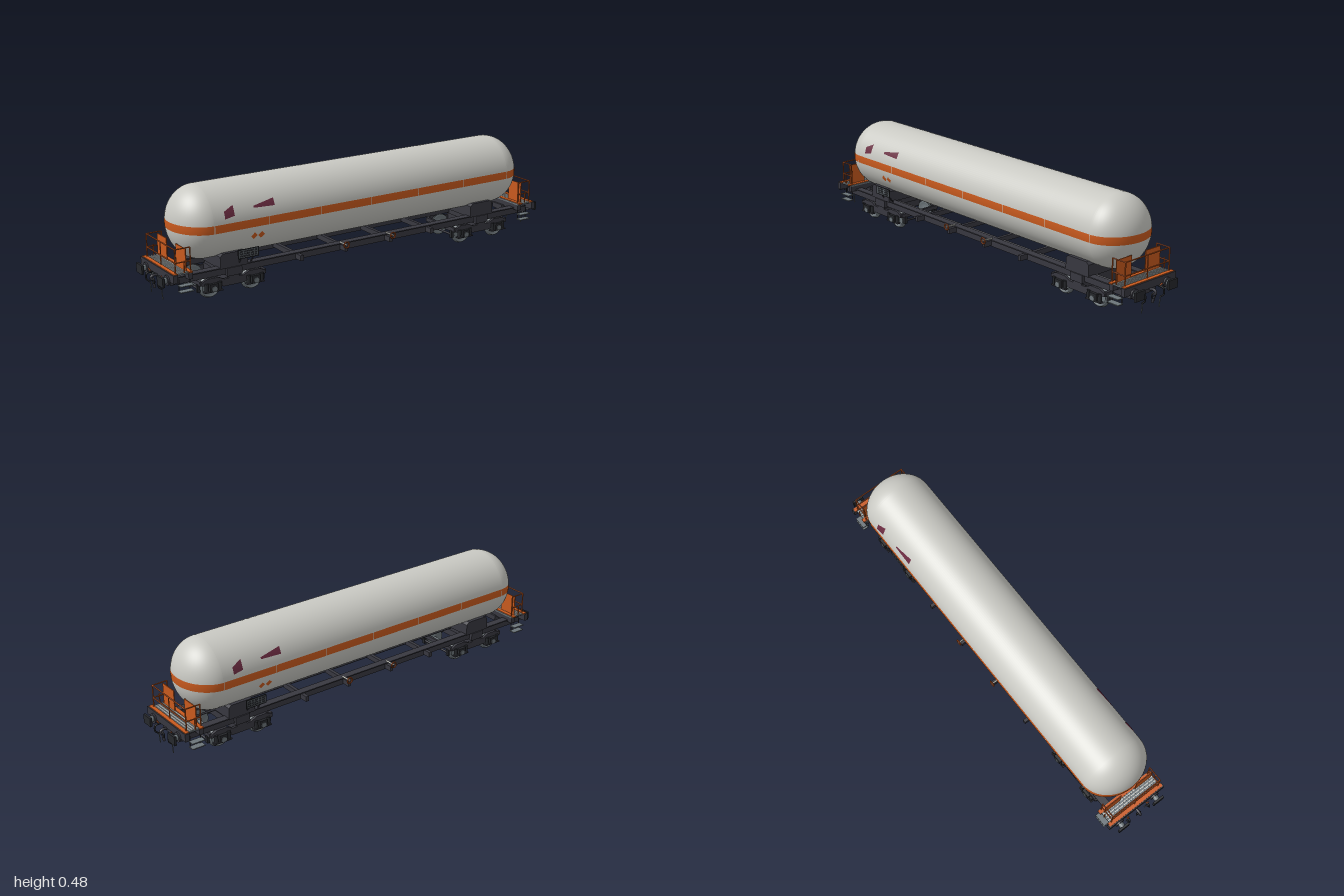
import * as THREE from 'three';

const mat = (name, color) => Object.assign(new THREE.MeshStandardMaterial({ color }), { name });
const R = 0.16, CY = 0.316, DOME = 0.135, STRAIGHT = 0.768;

export function createModel() {
  const shell = mat('tank grey', 0xc9c9c3), orange = mat('orange', 0xc95a1e);
  const dark = mat('charcoal', 0x383840), steel = mat('steel', 0x6c757a);
  const black = mat('black', 0x26282c), maroon = mat('maroon', 0x6a2b40);
  const model = new THREE.Group();
  model.name = 'tankWagon';

  const add = (parent, name, geo, m, x = 0, y = 0, z = 0) => {
    const mesh = new THREE.Mesh(geo, m);
    mesh.name = name;
    mesh.position.set(x, y, z);
    parent.add(mesh);
    return mesh;
  };
  // box given by its limits on each axis
  const box = (p, name, m, x0, x1, y0, y1, z0, z1) =>
    add(p, name, new THREE.BoxGeometry(x1 - x0, y1 - y0, z1 - z0), m, (x0 + x1) / 2, (y0 + y1) / 2, (z0 + z1) / 2);
  // round bar between two points
  const rod = (p, name, m, a, b, r, sides = 8) => {
    const A = new THREE.Vector3(...a), B = new THREE.Vector3(...b), d = B.clone().sub(A);
    const mesh = add(p, name, new THREE.CylinderGeometry(r, r, d.length(), sides), m);
    mesh.position.copy(A).add(B).multiplyScalar(0.5);
    mesh.quaternion.setFromUnitVectors(new THREE.Vector3(0, 1, 0), d.normalize());
    return mesh;
  };
  const tube = (p, name, m, pts, r) =>
    add(p, name, new THREE.TubeGeometry(new THREE.CatmullRomCurve3(pts.map(q => new THREE.Vector3(...q))), 16, r, 6), m);

  // domed tank surface between two polar angles, built from level cross-sections
  const tankBand = (name, m, t0, t1, rows) => {
    const pos = [], nor = [], idx = [], half = 24, cols = 2 * half + 3;
    for (let i = 0; i <= rows; i++) {
      const t = t0 + (t1 - t0) * i / rows, s = Math.sin(t), c = Math.cos(t);
      for (let j = 0; j < cols; j++) {
        const k = j % (2 * half + 2), side = k <= half ? 1 : -1;
        const f = -Math.PI / 2 + Math.PI * (side > 0 ? k : k - 1) / half;
        pos.push(side * STRAIGHT + DOME * s * Math.cos(f), CY + R * c, R * s * Math.sin(f));
        const n = new THREE.Vector3(s * Math.cos(f) / DOME, c / R, s * Math.sin(f) / R).normalize();
        nor.push(n.x, n.y, n.z);
        if (i < rows && j < cols - 1) {
          const a = i * cols + j, b = a + cols;
          idx.push(a, a + 1, b, a + 1, b + 1, b);
        }
      }
    }
    const g = new THREE.BufferGeometry();
    g.setAttribute('position', new THREE.Float32BufferAttribute(pos, 3));
    g.setAttribute('normal', new THREE.Float32BufferAttribute(nor, 3));
    g.setIndex(idx);
    add(model, name, g, m);
  };
  const tTop = Math.acos(0.016 / R), tLow = Math.acos(-0.019 / R);
  tankBand('tankUpper', shell, 0, tTop, 28);
  tankBand('tankStripe', orange, tTop, tLow, 4);
  tankBand('tankLower', shell, tLow, Math.PI, 28);
  for (let i = -3; i <= 3; i++) {
    const seam = new THREE.CylinderGeometry(R + 0.0006, R + 0.0006, 0.003, 96, 1, true).rotateZ(Math.PI / 2);
    add(model, 'weldSeam', seam, shell, i * 0.258, CY, 0);
  }

  // underframe: long sills, cross beams and handwheels
  for (const s of [-1, 1]) {
    box(model, 'sideSill', dark, -0.955, 0.955, 0.096, 0.128, s * 0.095 - 0.01, s * 0.095 + 0.01);
    box(model, 'sillFlange', dark, -0.955, 0.955, 0.125, 0.13, s * 0.095 - 0.018, s * 0.095 + 0.018);
    add(model, 'handwheel', new THREE.TorusGeometry(0.0135, 0.003, 8, 24), orange, s * 0.125, 0.132, 0.152);
    add(model, 'handwheel', new THREE.TorusGeometry(0.0135, 0.003, 8, 24), orange, s * 0.125, 0.132, -0.152);
    for (const z of [-1, 1]) {
      rod(model, 'handwheelShaft', shell, [s * 0.125, 0.132, z * 0.1], [s * 0.125, 0.132, z * 0.154], 0.004);
      rod(model, 'handwheelSpoke', orange, [s * 0.125 - 0.013, 0.132, z * 0.152], [s * 0.125 + 0.013, 0.132, z * 0.152], 0.0015);
    }
  }
  for (const x of [-0.35, -0.12, 0.12, 0.35])
    box(model, 'crossBeam', dark, x - 0.008, x + 0.008, 0.1, 0.124, -0.145, 0.145);
  rod(model, 'brakePipe', dark, [-0.93, 0.105, 0.03], [0.93, 0.105, 0.03], 0.005);

  // one half of the wagon, at the -x end
  const half = new THREE.Group();
  half.name = 'wagonHalf';

  // tank saddle
  const saddle = new THREE.Shape([[-0.065, 0.125], [0.065, 0.125], [0.065, 0.178], [0.052, 0.19], [-0.052, 0.19], [-0.065, 0.178]]
    .map(p => new THREE.Vector2(...p)));
  add(half, 'saddle', new THREE.ExtrudeGeometry(saddle, { depth: 0.23, bevelEnabled: false }), dark, -0.665, 0, -0.115);
  box(half, 'bolsterBeam', dark, -0.70, -0.63, 0.09, 0.126, -0.12, 0.12);

  // label board with a light grid
  box(half, 'labelBoard', black, -0.66, -0.56, 0.163, 0.203, 0.138, 0.142);
  for (let i = 0; i < 4; i++)
    box(half, 'boardLine', steel, -0.654, -0.566, 0.168 + i * 0.01, 0.1695 + i * 0.01, 0.142, 0.143);
  for (let i = 0; i < 6; i++)
    box(half, 'boardLine', steel, -0.654 + i * 0.0173, -0.6525 + i * 0.0173, 0.168, 0.199, 0.142, 0.143);
  for (const x of [-0.64, -0.58]) rod(half, 'boardPost', dark, [x, 0.11, 0.09], [x, 0.175, 0.138], 0.003);

  // painted plates following the tank side
  const plate = (name, m, place) => {
    const g = new THREE.PlaneGeometry(1, 1, 6, 6), p = g.attributes.position;
    for (let i = 0; i < p.count; i++) {
      const [x, y] = place(p.getX(i) + 0.5, p.getY(i) + 0.5);
      p.setXYZ(i, x, y, Math.sqrt((R + 0.0015) ** 2 - (y - CY) ** 2));
    }
    g.computeVertexNormals();
    add(half, name, g, m);
  };
  plate('paintedPanel', maroon, (u, v) => [-0.724 + 0.046 * u, 0.352 + 0.008 * u + v * (0.03 + 0.012 * u)]);
  plate('paintedWedge', maroon, (u, v) => [-0.585 + 0.1 * u, 0.377 - 0.004 * u + v * (0.008 + 0.022 * u)]);
  for (const cx of [-0.585, -0.55])
    plate('warningDiamond', orange, (u, v) => [cx + (u - v) * 0.016, 0.256 + (u + v - 1) * 0.016]);

  // bogie
  const bogie = new THREE.Group();
  bogie.name = 'bogie';
  bogie.position.x = -0.667;
  half.add(bogie);
  const wheelProfile = [[0.001, -0.012], [0.012, -0.012], [0.014, -0.004], [0.036, -0.004], [0.038, -0.008], [0.05, -0.008],
    [0.05, -0.004], [0.046, -0.002], [0.045, 0.008], [0.038, 0.008], [0.036, 0.003], [0.014, 0.003], [0.012, 0.01], [0.001, 0.01]];
  const frame = new THREE.Shape([[-0.155, 0.068], [-0.125, 0.062], [-0.075, 0.062], [-0.05, 0.048], [0.05, 0.048], [0.075, 0.062],
    [0.125, 0.062], [0.155, 0.068], [0.155, 0.08], [0.125, 0.094], [0.075, 0.094], [0.045, 0.08], [-0.045, 0.08],
    [-0.075, 0.094], [-0.125, 0.094], [-0.155, 0.08]].map(p => new THREE.Vector2(...p)));
  for (const s of [-1, 1]) {
    add(bogie, 'sideFrame', new THREE.ExtrudeGeometry(frame, { depth: 0.012, bevelEnabled: false }), dark, 0, 0, s * 0.108 - 0.006);
    box(bogie, 'sideBearer', dark, -0.025, 0.025, 0.08, 0.1, s * 0.1 - 0.014, s * 0.1 + 0.014);
    for (const x of [-0.1, 0.1]) {
      const wheel = new THREE.LatheGeometry(wheelProfile.map(p => new THREE.Vector2(...p)), 32).rotateX(s * Math.PI / 2);
      const w = add(bogie, 'wheel', wheel, steel, x, 0.05, s * 0.084);
      w.material = steel;
      box(bogie, 'axleBox', black, x - 0.02, x + 0.02, 0.037, 0.072, s * 0.115 - 0.012, s * 0.115 + 0.012);
      rod(bogie, 'axleCap', steel, [x, 0.05, s * 0.12], [x, 0.05, s * 0.13], 0.012, 16);
      for (const dx of [-0.031, 0.031]) {
        rod(bogie, 'spring', black, [x + dx, 0.04, s * 0.115], [x + dx, 0.075, s * 0.115], 0.009, 10);
        box(bogie, 'springSeat', dark, x + dx - 0.012, x + dx + 0.012, 0.036, 0.041, s * 0.115 - 0.01, s * 0.115 + 0.01);
      }
      const out = Math.sign(x) * 0.054;
      box(bogie, 'brakeShoe', black, x + out - 0.006, x + out + 0.006, 0.035, 0.07, s * 0.084 - 0.007, s * 0.084 + 0.007);
    }
  }
  for (const x of [-0.1, 0.1]) {
    rod(bogie, 'axle', steel, [x, 0.05, -0.118], [x, 0.05, 0.118], 0.008, 16);
    rod(bogie, 'brakeBeam', dark, [x * 1.54, 0.05, -0.085], [x * 1.54, 0.05, 0.085], 0.005);
  }
  box(bogie, 'bogieBolster', dark, -0.03, 0.03, 0.056, 0.09, -0.108, 0.108);
  for (const x of [-0.152, 0.152]) box(bogie, 'endTransom', dark, x - 0.006, x + 0.006, 0.066, 0.085, -0.108, 0.108);

  // headstock and end platform
  box(half, 'headstock', dark, -0.965, -0.945, 0.118, 0.153, -0.153, 0.153);
  box(half, 'draftBox', dark, -0.96, -0.86, 0.1, 0.125, -0.035, 0.035);
  box(half, 'endCrossBeam', dark, -0.89, -0.87, 0.12, 0.146, -0.14, 0.14);
  box(half, 'platform', steel, -0.955, -0.87, 0.146, 0.153, -0.14, 0.14);
  for (const x of [-0.951, -0.882]) box(half, 'platformEdge', orange, x - 0.009, x + 0.009, 0.15, 0.156, -0.148, 0.148);
  for (let i = 0; i < 4; i++) box(half, 'gratingBar', shell, -0.936 + i * 0.012, -0.932 + i * 0.012, 0.153, 0.155, -0.14, 0.14);

  // railings and guard panels
  for (const s of [-1, 1]) {
    box(half, 'guardPanel', orange, -0.897, -0.893, 0.155, 0.25, s * 0.086 - 0.044, s * 0.086 + 0.044);
    for (const x of [-0.876, -0.945]) rod(half, 'railPost', orange, [x, 0.15, s * 0.131], [x, 0.255, s * 0.131], 0.003);
    for (const y of [0.197, 0.255]) rod(half, 'sideRail', orange, [-0.876, y, s * 0.131], [-0.945, y, s * 0.131], 0.0028);
    rod(half, 'grabHandle', orange, [-0.91, 0.155, s * 0.142], [-0.91, 0.2, s * 0.142], 0.003);

    // buffers
    rod(half, 'bufferBase', dark, [-0.965, 0.12, s * 0.098], [-0.972, 0.12, s * 0.098], 0.022, 16);
    rod(half, 'bufferBarrel', steel, [-0.968, 0.12, s * 0.098], [-0.99, 0.12, s * 0.098], 0.013, 16);
    box(half, 'bufferPlate', black, -1, -0.99, 0.1, 0.14, s * 0.098 - 0.027, s * 0.098 + 0.027);

    // corner steps
    for (const y of [0.075, 0.1]) box(half, 'step', steel, -0.935, -0.875, y - 0.002, y + 0.002, s * 0.142 - 0.015, s * 0.142 + 0.015);
    for (const x of [-0.93, -0.88]) rod(half, 'stepHanger', dark, [x, 0.075, s * 0.129], [x, 0.125, s * 0.129], 0.0025);

    // brake hose and tap
    tube(half, 'brakeHose', black, [[-0.96, 0.115, s * 0.053], [-0.985, 0.11, s * 0.055], [-0.987, 0.085, s * 0.057], [-0.972, 0.07, s * 0.055]], 0.004);
    rod(half, 'hoseEnd', steel, [-0.972, 0.072, s * 0.053], [-0.968, 0.025, s * 0.053], 0.0025);
    rod(half, 'brakeTap', orange, [-0.972, 0.12, s * 0.05], [-0.975, 0.129, s * 0.06], 0.003);
  }
  for (const y of [0.197, 0.255]) rod(half, 'endRail', orange, [-0.945, y, -0.131], [-0.945, y, 0.131], 0.003);
  rod(half, 'centrePost', orange, [-0.945, 0.15, 0], [-0.945, 0.255, 0], 0.0025);

  // draw hook and hanging coupling
  tube(half, 'drawHook', dark, [[-0.96, 0.115, 0], [-0.98, 0.117, 0], [-0.993, 0.11, 0], [-0.99, 0.1, 0], [-0.98, 0.102, 0]], 0.006);
  const link = add(half, 'couplingLink', new THREE.TorusGeometry(0.011, 0.003, 8, 16), black, -0.982, 0.092, 0);
  link.rotation.y = Math.PI / 2;
  rod(half, 'couplingScrew', dark, [-0.982, 0.085, 0], [-0.978, 0.062, 0], 0.006);

  model.add(half);
  const other = half.clone();
  other.rotation.y = Math.PI;
  model.add(other);
  return model;
}
